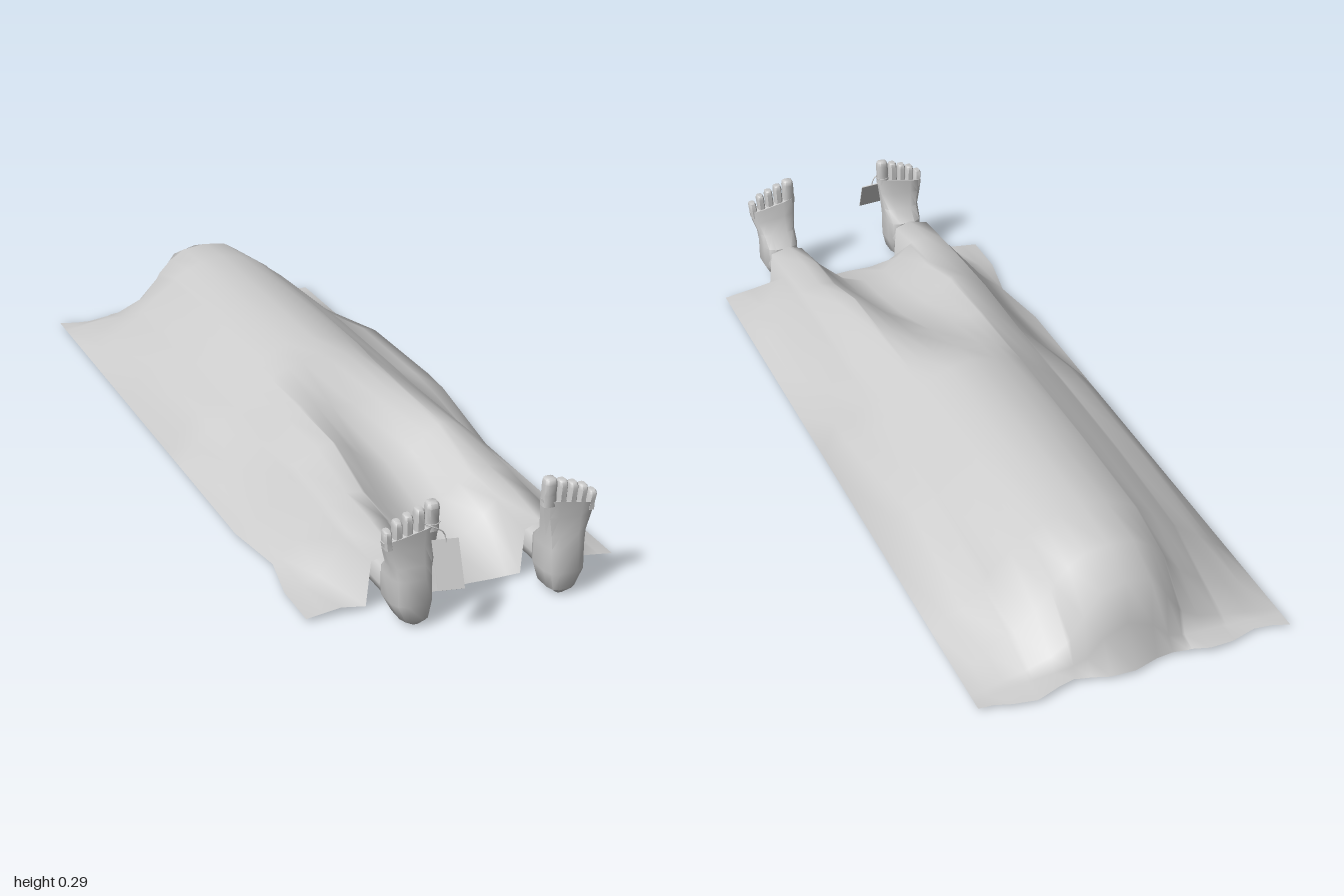
import * as THREE from 'three';
import { toCreasedNormals } from 'three/addons/utils/BufferGeometryUtils.js';

const MID = 0.01; // the body lies slightly off centre
const grey = new THREE.MeshStandardMaterial({ color: 0xcccccc });
const greyOpen = new THREE.MeshStandardMaterial({ color: 0xcccccc, side: THREE.DoubleSide });

function part(name, geometry, material = grey) {
  const mesh = new THREE.Mesh(geometry, material);
  mesh.name = name;
  return mesh;
}

function indexed(positions, index) {
  const g = new THREE.BufferGeometry();
  g.setAttribute('position', new THREE.Float32BufferAttribute(positions, 3));
  g.setIndex(index);
  return g;
}

// Sheet: half cross-sections from the middle outwards, one row per z station
const COLS = [0, 0.06, 0.1, 0.133, 0.141, 0.18, 0.232, 0.243, 0.3, 0.34, 0.38];
const STATIONS = [0.825, 0.7, 0.57, 0.4, 0.2, 0.02, -0.07, -0.4, -0.7, -0.84, -0.93, -0.95, -0.987];
const HEIGHTS = [
  [.012, .01, .01, .01, .118, .132, .118, .01, .02, .015, .01],
  [.05, .07, .105, .135, .14, .15, .13, .115, .035, .02, .01],
  [.075, .095, .125, .145, .15, .155, .14, .125, .06, .025, .01],
  [.115, .14, .178, .193, .2, .19, .15, .132, .06, .025, .01],
  [.185, .195, .203, .205, .203, .185, .145, .128, .07, .03, .01],
  [.243, .238, .228, .213, .205, .18, .142, .133, .105, .065, .01],
  [.26, .249, .235, .22, .21, .185, .145, .135, .11, .07, .01],
  [.26, .249, .235, .22, .21, .185, .145, .135, .11, .065, .01],
  [.26, .248, .233, .212, .204, .175, .13, .118, .075, .04, .01],
  [.247, .24, .215, .18, .165, .115, .075, .065, .035, .02, .01],
  [.212, .195, .14, .09, .08, .055, .04, .035, .025, .015, .01],
  [.11, .085, .04, .03, .028, .025, .022, .02, .018, .012, .01],
  [.012, .01, .01, .012, .015, .015, .012, .01, .01, .01, .01],
];

function sheetGeometry() {
  const positions = [], index = [];
  const half = COLS.length - 1, n = 2 * half + 1, last = STATIONS.length - 1;
  STATIONS.forEach((station, r) => {
    for (let c = -half; c <= half; c++) {
      const k = Math.abs(c), u = Math.sign(c) * COLS[k];
      let x = u + MID * (1 - COLS[k] / 0.38) - (c === half ? 0.004 : 0);
      let y = HEIGHTS[r][k], z = station;
      // the left arm pushes the cloth out a little further, with a dent at its shoulder
      if (c === half - 1 && r > 4 && r < 8) y += 0.032;
      if (r === 8 && (c === 7 || c === 8)) y -= 0.025;
      // the right edge is tucked in beside the shin
      if (c === -half && r === 2) x += 0.025;
      // wavy hem at the head end
      if (r === last) z -= 0.013 * Math.cos((x - 0.03) * 28);
      positions.push(x, y, z);
      if (r && c > -half) {
        const d = positions.length / 3 - 1, a = d - n - 1;
        index.push(a, a + 1, d - 1, a + 1, d, d - 1);
      }
    }
  });
  const g = indexed(positions, index);
  g.computeVertexNormals();
  return g;
}

// Loft of rounded sections stacked upwards: [y, centre, half width, zBack, zFront, slope]
function loft(rings, side, sides) {
  const positions = [], index = [];
  const tri = (a, b, c) => (side > 0 ? index.push(a, b, c) : index.push(a, c, b));
  const soft = v => Math.sign(v) * Math.pow(Math.abs(v), 0.6);
  rings.forEach(([y, u, w, zb, zf, slope = 0], r) => {
    for (let i = 0; i < sides; i++) {
      const t = ((i + 0.5) / sides) * Math.PI * 2, across = w * soft(Math.cos(t));
      positions.push(MID + side * (u + across), y - slope * across, (zb + zf) / 2 + ((zf - zb) / 2) * soft(Math.sin(t)));
      if (r) {
        const j = (i + 1) % sides, lo = (r - 1) * sides, hi = r * sides;
        tri(lo + i, hi + i, lo + j);
        tri(lo + j, hi + i, hi + j);
      }
    }
  });
  const top = (rings.length - 1) * sides;
  for (let i = 1; i < sides - 1; i++) {
    tri(0, i, i + 1);
    tri(top, top + i + 1, top + i);
  }
  return toCreasedNormals(indexed(positions, index), 0.8);
}

const FOOT = [
  [0.002, 0.177, 0.01, 0.875, 0.925], [0.018, 0.179, 0.033, 0.85, 0.942],
  [0.06, 0.185, 0.049, 0.835, 0.947], [0.12, 0.185, 0.049, 0.837, 0.945],
  [0.15, 0.186, 0.051, 0.872, 0.938], [0.19, 0.189, 0.06, 0.889, 0.932, 0.1],
  [0.226, 0.19, 0.066, 0.897, 0.932, 0.2],
];
// Toes from the big one outwards: [centre, half width, top]
const TOES = [[0.141, 0.016, 0.29], [0.171, 0.0115, 0.28], [0.197, 0.011, 0.27], [0.221, 0.0105, 0.26], [0.244, 0.01, 0.242]];

function foot(side, name) {
  const group = new THREE.Group();
  group.name = name;
  group.add(part('sole', loft(FOOT, side, 12)));
  TOES.forEach(([u, w, top], i) => {
    const base = 0.222 - (u - 0.141) * 0.25, h = top - base, lean = i * 0.0005;
    group.add(part('toe' + (i + 1), loft([
      [base, u - lean, w, 0.899, 0.931],
      [base + h * 0.4, u, w * 0.95, 0.901, 0.93],
      [base + h * 0.8, u + lean, w * 0.95, 0.902, 0.933],
      [top - 0.003, u + lean, w * 0.85, 0.904, 0.93],
      [top, u + lean, w * 0.65, 0.907, 0.925],
    ], side, 8)));
  });
  // open shin running back under the sheet
  const shin = new THREE.CylinderGeometry(0.043, 0.043, 0.3, 8, 1, true);
  shin.rotateX(Math.PI / 2).translate(MID + side * 0.186, 0.074, 0.7);
  group.add(part('shin', shin, greyOpen));
  return group;
}

// Card tied to the big toe of the right foot
function toeTag() {
  const group = new THREE.Group();
  group.name = 'toeTag';
  const card = part('card', new THREE.BoxGeometry(0.062, 0.108, 0.003));
  card.position.set(-0.115, 0.16, 0.969);
  card.rotation.set(-0.56, 0, -0.1);
  group.add(card);
  const loop = part('toeLoop', new THREE.TorusGeometry(0.018, 0.0015, 5, 16));
  loop.rotation.x = Math.PI / 2;
  loop.position.set(-0.131, 0.24, 0.916);
  const cord = new THREE.CatmullRomCurve3([
    [-0.151, 0.241, 0.918], [-0.14, 0.239, 0.936], [-0.12, 0.229, 0.942], [-0.111, 0.216, 0.942], [-0.11, 0.2, 0.946],
  ].map(p => new THREE.Vector3(...p)));
  group.add(loop, part('cord', new THREE.TubeGeometry(cord, 16, 0.0015, 5)));
  return group;
}

export function createModel() {
  const model = new THREE.Group();
  model.name = 'coveredBody';
  model.add(part('sheet', sheetGeometry(), greyOpen), foot(1, 'leftFoot'), foot(-1, 'rightFoot'), toeTag());
  return model;
}
